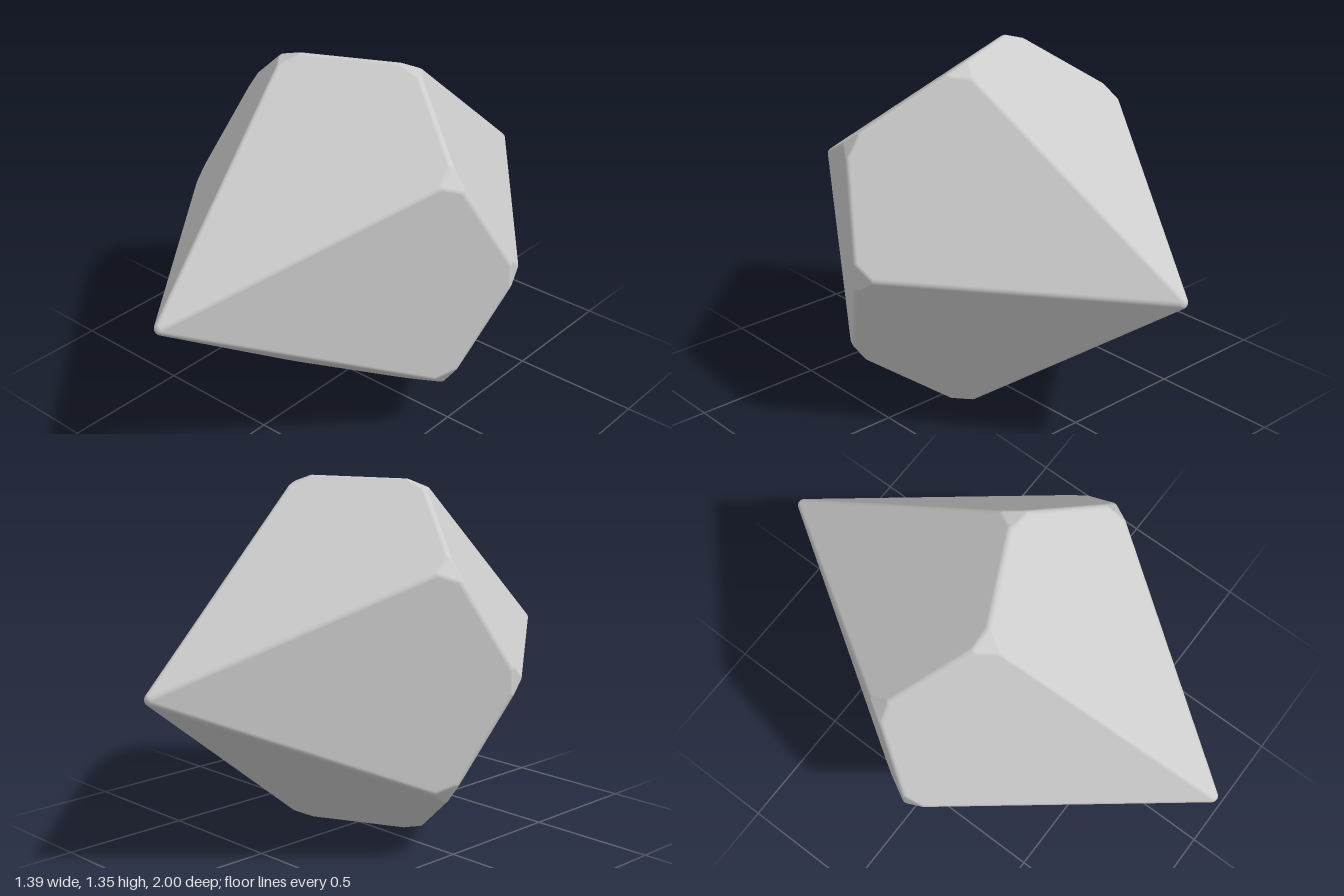
import * as THREE from 'three';
import { ConvexGeometry } from 'three/addons/geometries/ConvexGeometry.js';

// Core of a ten-sided trapezohedron with its axis on z, later swollen by EDGE
const EDGE = 0.025;              // rounding radius of the edges
const TRIM = 0.05;               // how far each belt corner is cut back
const RADIUS = 0.685, TIP = 0.975;
const BELT = TIP * (1 - Math.cos(Math.PI / 5)) / (1 + Math.cos(Math.PI / 5)); // keeps the kites flat
const STEPS = 6;                 // smoothness of the rounding
const CENTRE_Y = 0.6765;

const around = (j, radius, z) =>
  new THREE.Vector3(Math.cos(j * Math.PI / 5) * radius, Math.sin(j * Math.PI / 5) * radius, z);
const side = (j) => (Math.abs(j) % 2 ? -1 : 1);
const corner = (j) => around(j, RADIUS, -side(j) * BELT);
const faceNormal = (j) => around(j, TIP + BELT, side(j) * RADIUS).normalize();

// Directions filling the spherical triangle a, b, c
function fan(a, b, c) {
  const out = [];
  for (let i = 0; i <= STEPS; i++) {
    for (let k = 0; k <= STEPS - i; k++) {
      out.push(new THREE.Vector3()
        .addScaledVector(a, i).addScaledVector(b, k).addScaledVector(c, STEPS - i - k).normalize());
    }
  }
  return out;
}

function roundedDie() {
  const points = [], normals = new Map();
  const key = (p) => [p.x, p.y, p.z].map((v) => Math.round(Math.fround(v) * 1e5) | 0).join();
  const swell = (base, dirs) => dirs.forEach((d) => {
    const p = base.clone().addScaledVector(d, EDGE);
    if (normals.has(key(p))) return;
    normals.set(key(p), d);
    points.push(p);
  });

  // Belt corners, each cut back along its three edges
  for (let j = 0; j < 10; j++) {
    const v = corner(j);
    const dirs = fan(faceNormal(j - 1), faceNormal(j), faceNormal(j + 1));
    const ends = [corner(j - 1), corner(j + 1), new THREE.Vector3(0, 0, -side(j) * TIP)];
    ends.forEach((end) => swell(v.clone().addScaledVector(end.sub(v).normalize(), TRIM), dirs));
  }
  // Front and back tips
  for (let j = 0; j < 10; j++) {
    const axis = new THREE.Vector3(0, 0, side(j));
    swell(axis.clone().multiplyScalar(TIP), fan(faceNormal(j), faceNormal(j + 2), axis));
  }

  // Flat kites and soft edges: every point keeps the direction it was swollen in
  const geometry = new ConvexGeometry(points);
  const pos = geometry.attributes.position, nor = geometry.attributes.normal;
  const p = new THREE.Vector3();
  for (let i = 0; i < pos.count; i++) {
    const n = normals.get(key(p.fromBufferAttribute(pos, i)));
    if (n) nor.setXYZ(i, n.x, n.y, n.z);
  }
  return geometry;
}

export function createModel() {
  const group = new THREE.Group();
  group.name = 'tenSidedDie';
  const lightGrey = new THREE.MeshStandardMaterial({ color: 0xcccccc });
  lightGrey.name = 'light grey';
  const body = new THREE.Mesh(roundedDie(), lightGrey);
  body.name = 'dieBody';
  body.position.y = CENTRE_Y;
  group.add(body);
  return group;
}
